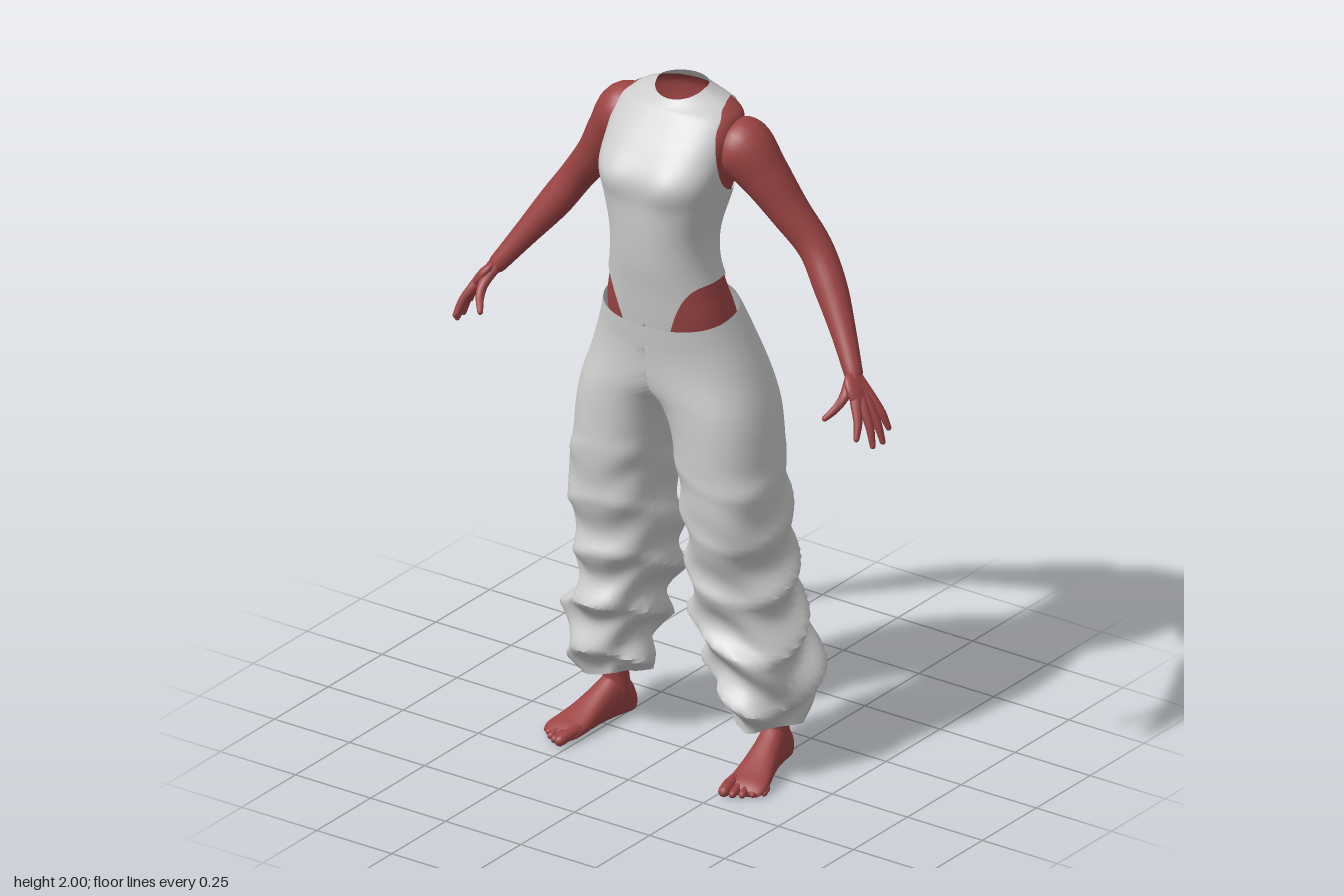
import * as THREE from 'three';
import { toCreasedNormals } from 'three/addons/utils/BufferGeometryUtils.js';

const cloth = new THREE.MeshStandardMaterial({ color: 0xcccccc, side: THREE.DoubleSide });
const skin = new THREE.MeshStandardMaterial({ color: 0x9c4444, side: THREE.DoubleSide });
const { smoothstep } = THREE.MathUtils;
const V = (x, y, z) => new THREE.Vector3(x, y, z);

function part(name, geometry, material) {
  const mesh = new THREE.Mesh(geometry, material);
  mesh.name = name;
  return mesh;
}

// Smooth lookup in rows whose first column is the ascending key
function table(rows) {
  const size = rows[0].length - 1;
  const curve = new THREE.CubicInterpolant(rows.map(r => r[0]), rows.flatMap(r => r.slice(1)), size, new Array(size));
  return key => Array.from(curve.evaluate(key));
}

// Skin a list of closed rings, optionally closing both ends
function loft(rings, caps = false) {
  const n = rings[0].length, points = rings.flat(), index = [];
  for (let j = 0; j < rings.length - 1; j++) {
    for (let i = 0; i < n; i++) {
      const a = j * n + i, b = j * n + (i + 1) % n;
      index.push(a, a + n, b + n, a, b + n, b);
    }
  }
  if (caps) {
    for (const [j, flip] of [[0, false], [rings.length - 1, true]]) {
      const mid = rings[j].reduce((s, p) => s.add(p), V(0, 0, 0)).divideScalar(n);
      const m = points.push(mid) - 1;
      for (let i = 0; i < n; i++) {
        const a = j * n + i, b = j * n + (i + 1) % n;
        index.push(m, flip ? b : a, flip ? a : b);
      }
    }
  }
  const g = new THREE.BufferGeometry().setFromPoints(points);
  g.setIndex(index);
  g.computeVertexNormals();
  return g;
}

// Keep the side of a surface where f(point) < 0, cutting triangles cleanly
function cut(geometry, f) {
  const g = geometry.toNonIndexed(), P = g.attributes.position, N = g.attributes.normal;
  const pos = [], nor = [];
  for (let t = 0; t < P.count; t += 3) {
    const tri = [0, 1, 2].map(k => {
      const p = V(0, 0, 0).fromBufferAttribute(P, t + k);
      return { p, n: V(0, 0, 0).fromBufferAttribute(N, t + k), d: f(p) };
    });
    const poly = [];
    tri.forEach((a, k) => {
      const b = tri[(k + 1) % 3];
      if (a.d < 0) poly.push(a);
      if ((a.d < 0) !== (b.d < 0)) {
        const u = a.d / (a.d - b.d);
        poly.push({ p: a.p.clone().lerp(b.p, u), n: a.n.clone().lerp(b.n, u) });
      }
    });
    for (let k = 1; k + 1 < poly.length; k++) {
      for (const v of [poly[0], poly[k], poly[k + 1]]) { pos.push(...v.p); nor.push(...v.n); }
    }
  }
  const out = new THREE.BufferGeometry();
  out.setAttribute('position', new THREE.Float32BufferAttribute(pos, 3));
  out.setAttribute('normal', new THREE.Float32BufferAttribute(nor, 3));
  return out;
}

// Round limb through [x, y, z, radius] points with domed ends
function limb(pts, sides = 16, steps = 6) {
  const curve = new THREE.CatmullRomCurve3(pts.map(p => V(p[0], p[1], p[2])));
  const radius = table(pts.map((p, i) => [i, p[3]]));
  const last = pts.length - 1, total = last * steps, rings = [];
  const span = curve.getPoint(1).sub(curve.getPoint(0)).normalize();
  const ref = Math.abs(span.z) > 0.8 ? V(0, 1, 0) : V(0, 0, 1);
  const ring = (t, dome) => {
    const T = curve.getTangent(t), N = ref.clone().cross(T).normalize(), B = T.clone().cross(N);
    const r = radius(t * last)[0], c = curve.getPoint(t).addScaledVector(T, r * Math.sin(dome));
    rings.push(Array.from({ length: sides }, (_, i) => {
      const a = i / sides * Math.PI * 2, q = r * Math.cos(dome);
      return c.clone().addScaledVector(N, q * Math.cos(a)).addScaledVector(B, -q * Math.sin(a));
    }));
  };
  for (const d of [-1.45, -1, -0.5]) ring(0, d);
  for (let s = 0; s <= total; s++) ring(s / total, 0);
  for (const d of [0.5, 1, 1.45]) ring(1, d);
  return loft(rings, true);
}

const sup = (v, n) => Math.sign(v) * Math.pow(Math.abs(v), 2 / n);

// Torso: height, half width, front z, back z, squareness
const torsoAt = table([
  [1.28, 0.198, 0.165, -0.10, 2.2], [1.36, 0.192, 0.178, -0.08, 2.3], [1.44, 0.172, 0.19, -0.058, 2.3],
  [1.52, 0.154, 0.203, -0.045, 2.3], [1.60, 0.150, 0.21, -0.052, 2.4], [1.70, 0.168, 0.213, -0.08, 2.7],
  [1.78, 0.183, 0.213, -0.10, 3.0], [1.85, 0.189, 0.172, -0.113, 2.8], [1.91, 0.190, 0.125, -0.115, 2.5],
  [1.945, 0.178, 0.098, -0.11, 2.3], [1.97, 0.135, 0.086, -0.095, 2.1], [1.985, 0.10, 0.08, -0.082, 2],
  [2.0, 0.075, 0.07, -0.07, 2]]);

function torso(bottom, top, inset) {
  const rings = [], rows = 72, n = 80;
  for (let j = 0; j <= rows; j++) {
    const y = THREE.MathUtils.lerp(bottom, top, j / rows), [w, zf, zb, e] = torsoAt(y);
    const zc = (zf + zb) / 2, depth = (zf - zb) / 2;
    rings.push(Array.from({ length: n }, (_, i) => {
      const a = i / n * Math.PI * 2;
      const x = (w - inset) * sup(Math.cos(a), e);
      let z = zc + (depth - inset) * sup(Math.sin(a), e);
      // soft bust and a neckline that dips at the front
      if (z > zc) z += 0.01 * Math.exp(-(((Math.abs(x) - 0.085) / 0.05) ** 2) - ((y - 1.77) / 0.06) ** 2);
      return V(x, y - Math.max(0, z) * 0.35 * smoothstep(y, 1.94, 2), z);
    }));
  }
  return loft(rings);
}

// Positive inside the armholes and the high-cut hip openings
function opening(p) {
  const x = Math.abs(p.x);
  const arm = Math.min(1 - ((p.z + 0.03) / 0.125) ** 2 - ((p.y - 1.845) / 0.125) ** 2, (x - 0.115) * 10);
  const hip = 1.472 - p.y - 20 * Math.max(0, 0.163 - x) ** 2;
  return Math.max(arm, hip);
}

// Trouser legs: height, centre x, half width, front z, back z
const upperLeg = [
  [0.8, 0.187, 0.137, 0.17, -0.145], [0.92, 0.172, 0.137, 0.172, -0.148], [1.0, 0.160, 0.141, 0.17, -0.15],
  [1.05, 0.148, 0.147, 0.17, -0.153], [1.1, 0.125, 0.160, 0.17, -0.156], [1.2, 0.03, 0.225, 0.173, -0.158],
  [1.28, 0, 0.228, 0.178, -0.13], [1.365, 0, 0.199, 0.186, -0.088]];
const leftLower = [
  [0.14, 0.267, 0.075, 0.06, -0.13], [0.2, 0.262, 0.105, 0.085, -0.18], [0.3, 0.248, 0.14, 0.108, -0.198],
  [0.42, 0.215, 0.138, 0.12, -0.195], [0.6, 0.188, 0.135, 0.135, -0.17]];
const rightLower = [
  [0.17, 0.24, 0.082, 0.06, -0.13], [0.22, 0.245, 0.105, 0.085, -0.17], [0.31, 0.247, 0.125, 0.11, -0.19],
  [0.42, 0.215, 0.125, 0.125, -0.185], [0.6, 0.182, 0.138, 0.14, -0.165]];

function trouserLeg(lower, seed) {
  const at = table([...lower, ...upperLeg]), bottom = lower[0][0], rings = [], rows = 80, n = 52;
  for (let j = 0; j <= rows; j++) {
    const y = THREE.MathUtils.lerp(bottom, 1.365, j / rows), [cx, w, zf, zb] = at(y);
    const zc = (zf + zb) / 2, depth = (zf - zb) / 2;
    const amount = 0.005 * (1 - smoothstep(y, 0.85, 1.0)) + 0.013 * (1 - smoothstep(y, 0.3, 0.85));
    rings.push(Array.from({ length: n }, (_, i) => {
      const a = i / n * Math.PI * 2;
      // slanting gathered folds, deeper towards the hem
      const fold = 0.9 - 1.9 * Math.abs(Math.sin(y * 19 + 1.6 * Math.sin(a + seed) + seed))
        + 0.5 * Math.sin(y * 43 + 2.4 * Math.sin(2 * a + seed * 1.7)) + 0.5 * Math.sin(3 * a + y * 13 + seed);
      const d = amount * fold, slope = 0.2 * smoothstep(y, 1.2, 1.36);
      const x = cx + (w + d) * sup(Math.cos(a), 2.25), z = zc + (depth + d) * sup(Math.sin(a), 2.25);
      const hem = 0.012 * Math.sin(2 * a + seed) * (1 - smoothstep(y, bottom, bottom + 0.1));
      return V(Math.max(x, 0), y + slope * (zc - z) + hem, z);
    }));
  }
  return toCreasedNormals(loft(rings), 0.9);
}

function arm() {
  const g = new THREE.Group();
  g.add(part('arm', limb([
    [0.15, 1.87, -0.01, 0.07], [0.19, 1.85, -0.015, 0.086], [0.25, 1.78, -0.03, 0.07], [0.32, 1.68, -0.052, 0.056],
    [0.395, 1.585, -0.067, 0.048], [0.46, 1.49, -0.048, 0.046], [0.53, 1.39, -0.01, 0.035], [0.592, 1.30, 0.03, 0.026]], 24), skin));
  const palm = part('palm', new THREE.SphereGeometry(1, 20, 14), skin);
  palm.scale.set(0.019, 0.056, 0.04);
  palm.position.set(0.622, 1.262, 0.052);
  palm.rotation.z = 0.6;
  g.add(palm);
  // knuckle, then fingertip
  const fingers = {
    indexFinger: [[0.638, 1.235, 0.083], [0.668, 1.158, 0.122]],
    middleFinger: [[0.648, 1.23, 0.064], [0.692, 1.128, 0.08]],
    ringFinger: [[0.652, 1.23, 0.045], [0.698, 1.128, 0.042]],
    littleFinger: [[0.65, 1.24, 0.026], [0.696, 1.158, 0.012]],
    thumb: [[0.602, 1.255, 0.085], [0.574, 1.20, 0.138]] };
  for (const [name, [k, t]] of Object.entries(fingers)) {
    const mid = k.map((v, i) => (v + t[i]) / 2 + (i === 0 ? 0.006 : 0));
    g.add(part(name, limb([[0.594, 1.3, 0.034, 0.02], [...k, 0.0145], [...mid, 0.012], [...t, 0.008]], 10, 5), skin));
  }
  return g;
}

function foot() {
  const g = new THREE.Group();
  // distance from ankle, half width, height
  const rows = [[-0.07, 0.014, 0.04], [-0.06, 0.03, 0.075], [-0.03, 0.038, 0.12], [0.01, 0.038, 0.13], [0.055, 0.041, 0.105],
    [0.11, 0.049, 0.073], [0.16, 0.057, 0.048], [0.195, 0.058, 0.034], [0.212, 0.05, 0.022]];
  const at = table(rows), rings = [];
  for (let j = 0; j <= 28; j++) {
    const z = -0.07 + 0.282 * j / 28, [w, h] = at(z);
    rings.push(Array.from({ length: 24 }, (_, i) => {
      const a = i / 24 * Math.PI * 2;
      return V(w * sup(Math.cos(a), 2.3), h / 2 - h / 2 * sup(Math.sin(a), 2.3), z);
    }));
  }
  g.add(part('footBody', loft(rings, true), skin));
  for (let i = 0; i < 5; i++) {
    const x = -0.04 + 0.0225 * i, r = i ? 0.0125 - 0.0008 * i : 0.017, tip = 0.238 - 0.003 * i * i;
    g.add(part('toe', limb([[x, r + 0.008, 0.17, r], [x * 1.05, r + 0.006, tip - 0.025, r], [x * 1.08, r, tip, r * 0.95]], 10, 4), skin));
  }
  g.add(part('shin', limb([[0, 0.07, -0.012, 0.04], [0, 0.14, -0.008, 0.036], [-0.005, 0.24, -0.005, 0.042], [-0.02, 0.42, 0, 0.055]], 20), skin));
  g.position.set(0.268, 0, -0.055);
  g.rotation.y = 0.2;
  return g;
}

export function createModel() {
  const model = new THREE.Group();
  model.name = 'clothedFigure';
  model.add(part('body', torso(1.28, 1.975, 0.005), skin));
  model.add(part('bodysuit', cut(torso(1.3, 2.0, 0), opening), cloth));
  for (const [side, sign, lower, seed] of [['left', 1, leftLower, 0.7], ['right', -1, rightLower, 2.9]]) {
    const half = new THREE.Group();
    half.name = side + 'Side';
    const a = arm(), f = foot();
    a.name = side + 'Arm';
    f.name = side + 'Foot';
    half.add(a, f, part(side + 'TrouserLeg', trouserLeg(lower, seed), cloth));
    half.scale.x = sign;
    model.add(half);
  }
  return model;
}
